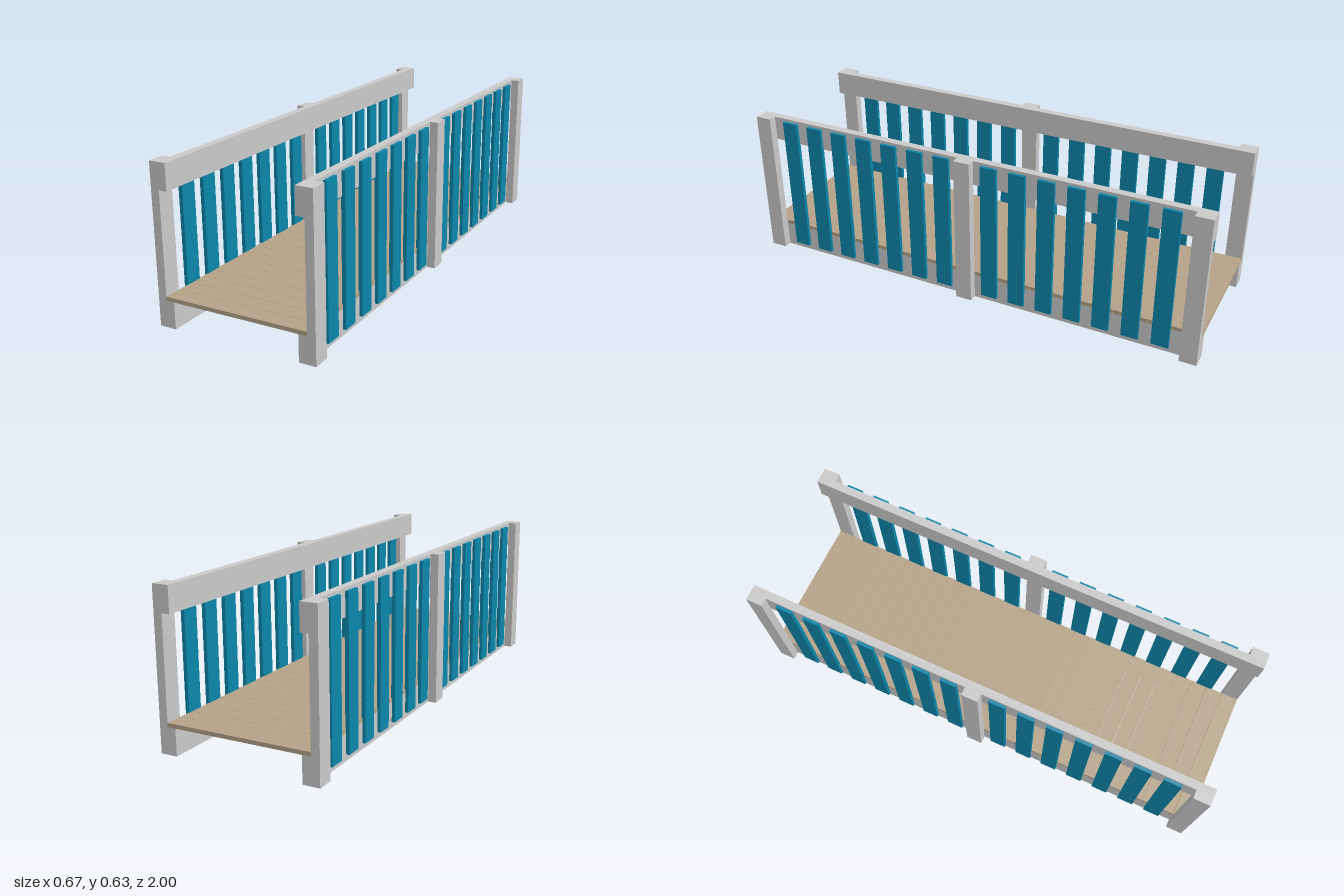
import * as THREE from 'three';

export function createModel() {
  const model = new THREE.Group();
  model.name = 'footbridge';

  const mat = (name, color) => {
    const m = new THREE.MeshStandardMaterial({ color });
    m.name = name;
    return m;
  };
  const grey = mat('grey frame', 0xcacaca);
  const wood = mat('deck wood', 0xb5a388);
  const teal = mat('teal slat', 0x0d87ab);

  // Box given by its lower and upper limits on each axis
  const box = (parent, name, material, [x0, x1], [y0, y1], [z0, z1]) => {
    const mesh = new THREE.Mesh(new THREE.BoxGeometry(x1 - x0, y1 - y0, z1 - z0), material);
    mesh.position.set((x0 + x1) / 2, (y0 + y1) / 2, (z0 + z1) / 2);
    mesh.name = name;
    parent.add(mesh);
  };

  const height = 0.632, inner = 0.264, face = 0.298, outer = 0.333;

  // Deck of cross boards with hairline gaps
  const deck = new THREE.Group();
  deck.name = 'deck';
  model.add(deck);
  const boards = 28, pitch = 2 / boards, gap = 0.001;
  for (let i = 0; i < boards; i++) {
    const z = -1 + i * pitch;
    box(deck, 'deckBoard', wood, [-face, face], [0.107, 0.123],
      [z + (i ? gap / 2 : 0), z + pitch - (i < boards - 1 ? gap / 2 : 0)]);
  }

  // Matching railings on both sides
  for (const side of [1, -1]) {
    const railing = new THREE.Group();
    railing.name = side > 0 ? 'leftRailing' : 'rightRailing';
    model.add(railing);
    const span = (a, b) => (side > 0 ? [a, b] : [-b, -a]);

    // Long rails
    box(railing, 'topRail', grey, span(inner, face), [0.528, height], [-1, 1]);
    box(railing, 'bottomBeam', grey, span(inner, face), [0, 0.107], [-1, 1]);

    // Posts at the ends and middle
    for (const z of [-0.965, 0, 0.965])
      box(railing, 'post', grey, span(face, outer), [0, height], [z - 0.035, z + 0.035]);

    // Seven slats in each bay
    for (const bay of [1, -1])
      for (let i = 0; i < 7; i++) {
        const z = bay * (0.106 + i * 0.123);
        box(railing, 'slat', teal, span(0.295, 0.311), [0.025, 0.62], [z - 0.035, z + 0.035]);
      }
  }
  return model;
}
